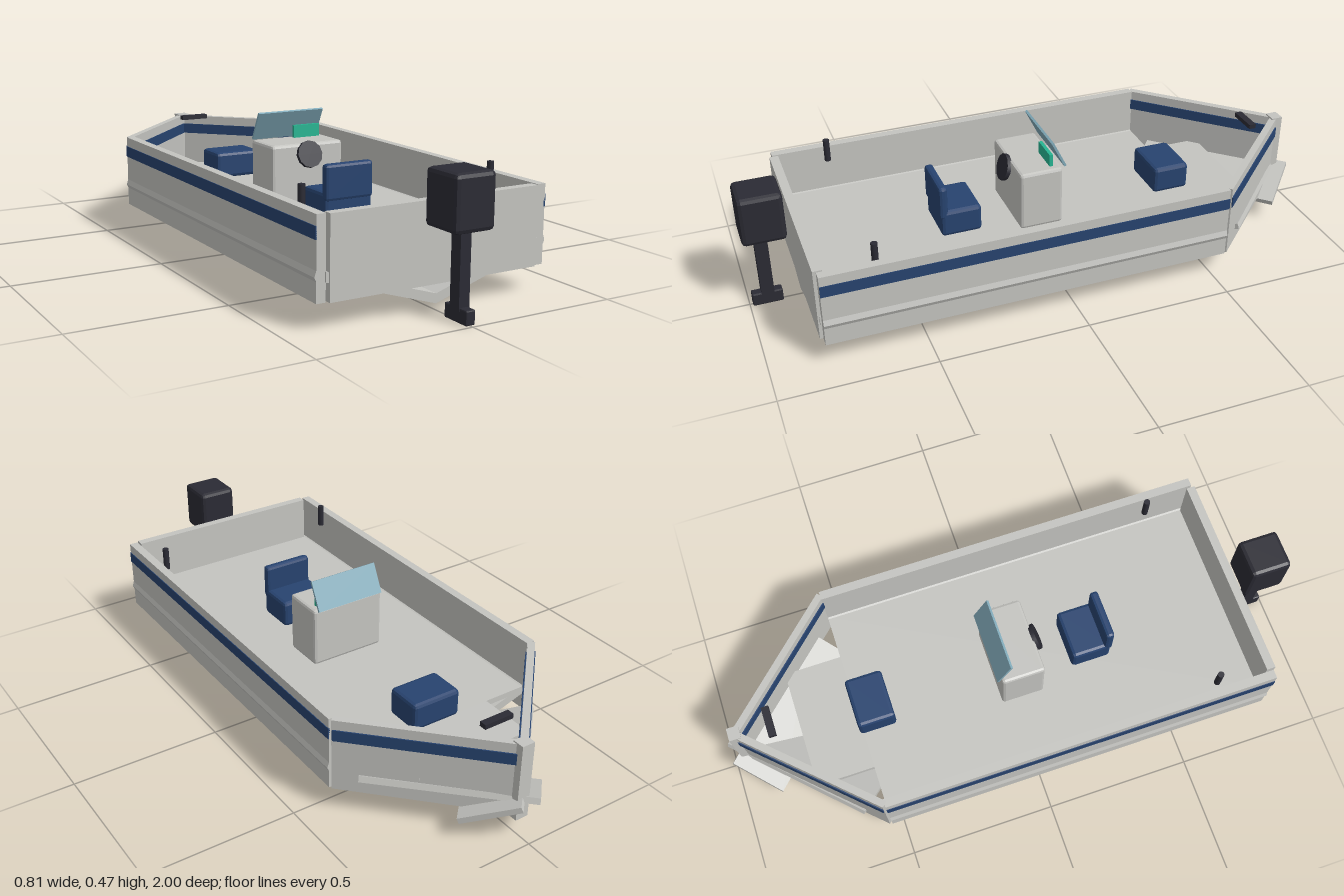
import * as THREE from 'three';
import { RoundedBoxGeometry } from 'three/addons/geometries/RoundedBoxGeometry.js';

function material(name, color) {
  const m = new THREE.MeshStandardMaterial({ color });
  m.name = name;
  return m;
}

export function createModel() {
  const boat = new THREE.Group();
  boat.name = 'motorBoat';
  const hull = material('hullGrey', 0xc4c4c0);
  const navy = material('navy', 0x27436f);
  const black = material('black', 0x2b2b34);
  const glass = material('glassBlue', 0x82abba);
  const green = material('screenGreen', 0x27b592);

  function add(name, geometry, mat, x, y, z, parent = boat) {
    const mesh = new THREE.Mesh(geometry, mat);
    mesh.name = name;
    mesh.position.set(x, y, z);
    parent.add(mesh);
    return mesh;
  }
  const box = (name, mat, w, h, d, x, y, z, parent) =>
    add(name, new THREE.BoxGeometry(w, h, d), mat, x, y, z, parent);

  // Box with one flat chamfer on every edge
  function chamferBox(name, mat, w, h, d, x, y, z, r) {
    const g = new RoundedBoxGeometry(w, h, d, 1, r);
    g.computeVertexNormals();
    return add(name, g, mat, x, y, z);
  }

  // Cross-section in x and y, extruded from z0 to z1
  function section(name, points, z0, z1) {
    const shape = new THREE.Shape(points.map(([x, y]) => new THREE.Vector2(x, y)));
    const g = new THREE.ExtrudeGeometry(shape, { depth: z1 - z0, bevelEnabled: false });
    return add(name, g, hull, 0, 0, z0);
  }

  // Floor and transom
  box('mainFloor', hull, 0.74, 0.02, 1.36, 0, 0.155, 0.14);
  box('bowFloor', hull, 0.42, 0.02, 0.2, 0, 0.155, -0.64);
  box('transom', hull, 0.72, 0.25, 0.03, 0, 0.205, 0.82);
  box('stemPost', hull, 0.045, 0.265, 0.04, 0, 0.2025, -0.94);

  for (const s of [1, -1]) {
    // Straight sides with stripe and chine rail
    box('sideWall', hull, 0.03, 0.25, 1.365, s * 0.382, 0.205, 0.1425);
    box('sideStripe', navy, 0.006, 0.038, 1.365, s * 0.3965, 0.278, 0.1425);
    section('chineRail', [[s * 0.394, 0.182], [s * 0.403, 0.155], [s * 0.394, 0.135]], -0.54, 0.825);

    // Sloping half of the V bottom
    section('bottomPlate', [[0, 0.02], [s * 0.37, 0.138], [s * 0.37, 0.168], [0, 0.05]], -0.54, 0.83);

    // Angled bow side; local z points inward
    const bow = new THREE.Group();
    bow.name = 'bowSide';
    bow.position.set(s * 0.193, 0, -0.74);
    bow.rotation.y = -s * 0.805;
    boat.add(bow);
    box('bowWall', hull, 0.555, 0.25, 0.024, 0, 0.205, 0, bow);
    box('bowStripe', navy, 0.55, 0.038, 0.032, 0, 0.278, 0, bow);

    // Tilted bow bottom, crossing at the stem
    const plate = box('bowBottomPlate', hull, 0.535, 0.02, 0.195, s * 0.09, 0.103, -0.742);
    plate.rotation.set(0.37, -s * Math.PI / 4, 0, 'YXZ');

    add('rodHolder', new THREE.CylinderGeometry(0.011, 0.011, 0.08, 12), black, s * 0.337, 0.332, 0.64);
  }
  box('bowCleat', black, 0.105, 0.016, 0.025, 0, 0.338, -0.82);

  // Helm console
  chamferBox('console', hull, 0.27, 0.21, 0.15, 0, 0.268, 0.022, 0.01);
  const windshield = box('windshield', glass, 0.25, 0.105, 0.008, 0, 0.42, -0.042);
  windshield.rotation.x = 0.46;
  box('screen', green, 0.1, 0.046, 0.012, 0.06, 0.393, -0.02);
  const wheel = add('steeringWheel', new THREE.CylinderGeometry(0.046, 0.046, 0.014, 12), black, 0, 0.337, 0.108);
  wheel.rotation.x = Math.PI / 2 - 0.3;

  // Seats
  chamferBox('helmSeat', navy, 0.176, 0.095, 0.14, 0, 0.213, 0.288, 0.012);
  chamferBox('helmBackrest', navy, 0.176, 0.12, 0.03, 0, 0.292, 0.348, 0.01);
  chamferBox('bowSeat', navy, 0.176, 0.095, 0.13, 0, 0.213, -0.485, 0.012);

  // Outboard motor
  chamferBox('motorCowl', black, 0.137, 0.17, 0.143, 0, 0.35, 0.928, 0.014);
  box('motorLeg', black, 0.036, 0.24, 0.042, 0, 0.155, 0.938);
  chamferBox('motorFoot', black, 0.032, 0.045, 0.1, 0, 0.0225, 0.94, 0.004);

  return boat;
}
